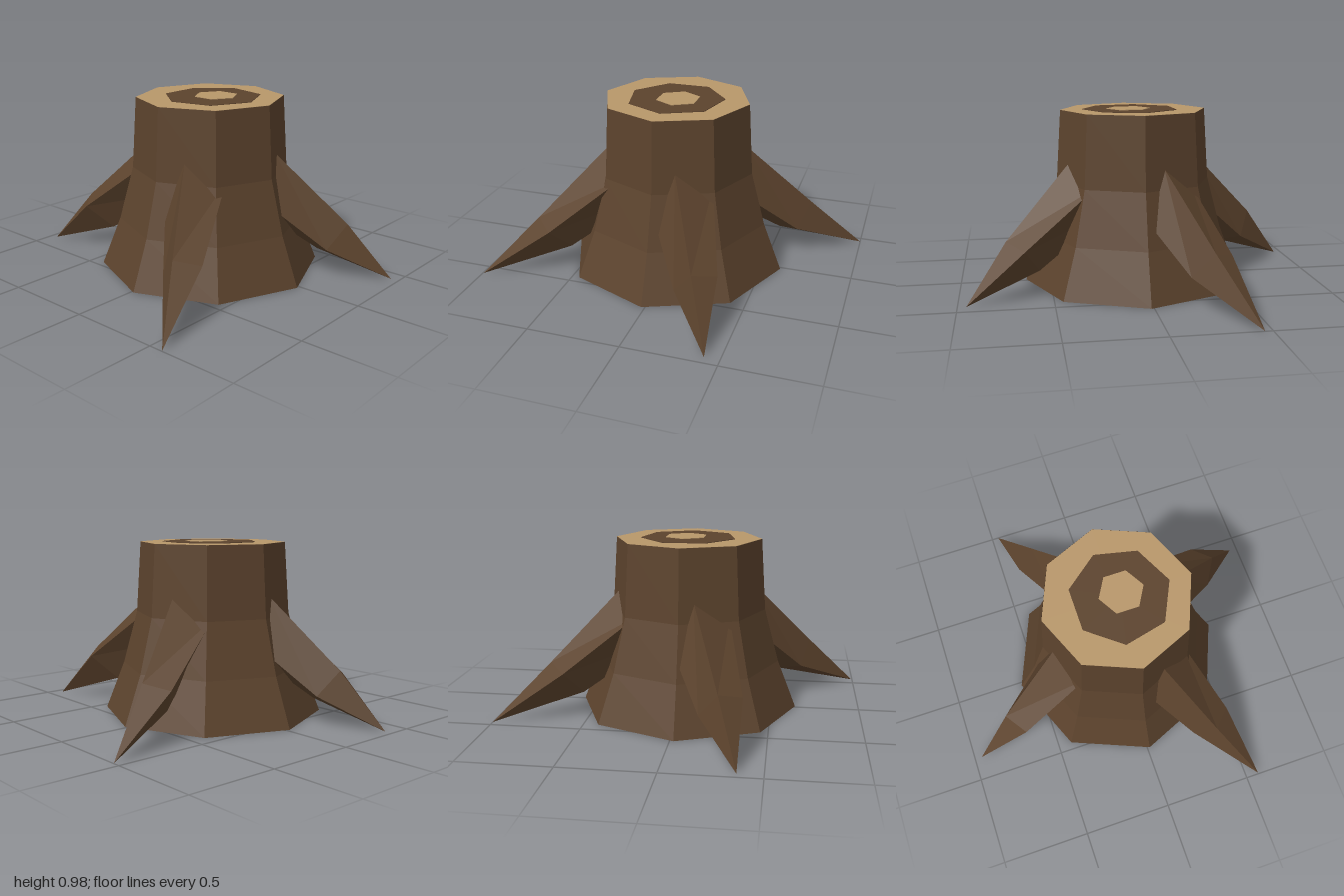
import * as THREE from 'three';

const CX = 0.015, CZ = 0.02, TOP = 0.968;

// Root cross-sections as [outward, sideways, height]: top, left, bottom, right corner
const ROOT_BASE = [[0.385, -0.06, 0.685], [0.27, -0.19, 0.5], [0.14, 0, 0.41], [0.34, 0.15, 0.575]];
const ROOT_MID = [[0.79, -0.03, 0.305], [0.69, -0.105, 0.17], [0.62, 0.02, 0.13], [0.75, 0.11, 0.27]];

// Four-sided bent spike running from inside the trunk to a tip on the ground
function rootGeometry(tipX, tipZ) {
  const dx = tipX - CX, dz = tipZ - CZ, reach = Math.hypot(dx, dz);
  const rx = dx / reach, rz = dz / reach;
  const place = ([r, t, y]) => [CX + rx * r + rz * t, y, CZ + rz * r - rx * t];
  const points = [...ROOT_BASE, ...ROOT_MID, [reach, 0, 0]].flatMap(place);
  const index = [0, 3, 2, 0, 2, 1];
  for (let i = 0; i < 4; i++) {
    const j = (i + 1) % 4;
    index.push(i, j, j + 4, i, j + 4, i + 4, i + 4, j + 4, 8);
  }
  const indexed = new THREE.BufferGeometry();
  indexed.setAttribute('position', new THREE.Float32BufferAttribute(points, 3));
  indexed.setIndex(index);
  const geometry = indexed.toNonIndexed();
  geometry.computeVertexNormals();
  return geometry;
}

export function createModel() {
  const bark = new THREE.MeshStandardMaterial({ color: 0x5c432d, flatShading: true, side: THREE.DoubleSide });
  bark.name = 'bark';
  const wood = new THREE.MeshStandardMaterial({ color: 0xb8976a, flatShading: true });
  wood.name = 'cut wood';

  const group = new THREE.Group();
  group.name = 'treeStump';
  const add = (name, geometry, material, x = 0, y = 0, z = 0) => {
    const mesh = new THREE.Mesh(geometry, material);
    mesh.name = name;
    mesh.position.set(x, y, z);
    group.add(mesh);
  };

  // Flared eight-sided trunk, open underneath
  const profile = [[0.62, 0], [0.515, 0.27], [0.435, 0.57], [0.41, TOP]];
  add('trunk', new THREE.LatheGeometry(profile.map(p => new THREE.Vector2(...p)), 8), bark, CX, 0, CZ);

  // Sawn top and growth rings, as thin stacked plates
  const plate = (radius, sides) =>
    new THREE.CylinderGeometry(radius, radius, 0.004, sides, 1, false, Math.PI / 2);
  add('cutFace', plate(0.409, 8), wood, CX, TOP - 0.001, CZ);
  add('darkRing', plate(0.27, 7), bark, 0.033, TOP + 0.002, CZ);
  add('heartwood', plate(0.123, 6), wood, 0.043, TOP + 0.005, 0.003);

  // Four roots, given by where their tips touch the ground
  const roots = {
    frontLeftRoot: [0.575, 0.995],
    backLeftRoot: [0.955, -0.42],
    backRightRoot: [-0.46, -1],
    frontRightRoot: [-0.96, 0.37],
  };
  for (const [name, tip] of Object.entries(roots)) add(name, rootGeometry(...tip), bark);

  return group;
}
